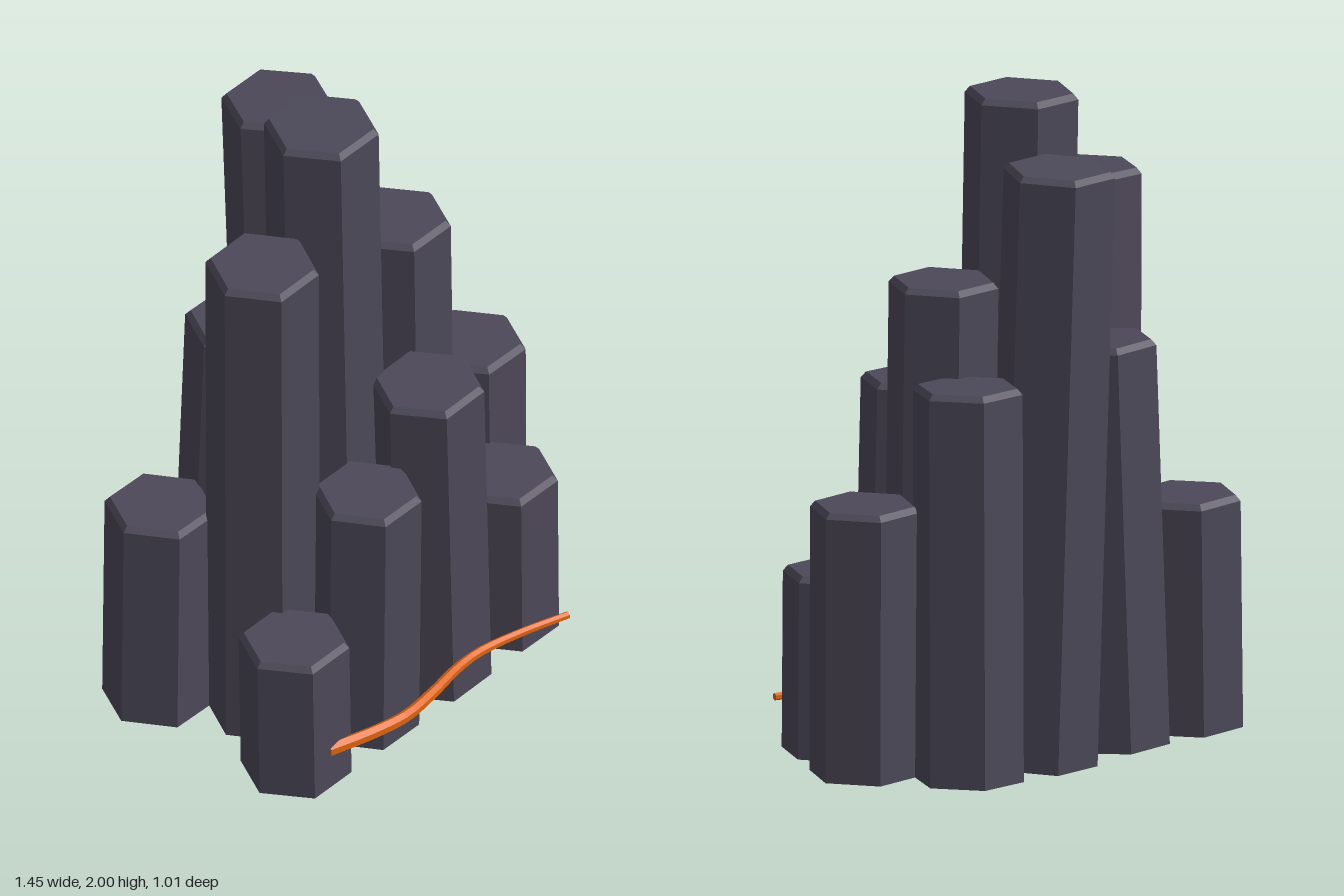
import * as THREE from 'three';

const stone = new THREE.MeshStandardMaterial({ color: 0x4c4858, flatShading: true });
stone.name = 'basalt grey';
const ember = new THREE.MeshStandardMaterial({ color: 0xe0660f, flatShading: true });
ember.name = 'ember orange';

// One leaning six-sided column with a chamfered top rim
function column([bx, bz, tx, tz, height, r = 0.168]) {
  const base = new THREE.Vector3(bx, 0.008, bz);
  const axis = new THREE.Vector3(tx, height - 0.003, tz).sub(base);
  const h = axis.length();
  const profile = [[0, 0], [r, 0], [r, h - 0.018], [r - 0.016, h], [0, h]]
    .map(([x, y]) => new THREE.Vector2(x, y));
  const mesh = new THREE.Mesh(new THREE.LatheGeometry(profile, 6, Math.PI / 2), stone);
  mesh.position.copy(base);
  mesh.quaternion.setFromUnitVectors(new THREE.Vector3(0, 1, 0), axis.normalize());
  return mesh;
}

// Tapering six-sided strand with flat ends
function strand(points, r0, r1, segments = 24, sides = 6) {
  const curve = new THREE.CatmullRomCurve3(points.map((p) => new THREE.Vector3(...p)));
  const geometry = new THREE.TubeGeometry(curve, segments, 1, sides);
  const pos = geometry.attributes.position;
  const v = new THREE.Vector3();
  for (let i = 0; i <= segments; i++) {
    const ring = Math.min(Math.max(i, 1), segments - 1);
    const centre = curve.getPointAt(i / segments);
    const target = curve.getPointAt((ring - 1) / (segments - 2));
    // the first and last rings collapse onto their neighbours to make end caps
    const r = i === ring ? THREE.MathUtils.lerp(r0, r1, i / segments) : 0;
    for (let j = 0; j <= sides; j++) {
      const k = i * (sides + 1) + j;
      v.fromBufferAttribute(pos, k).sub(centre).multiplyScalar(r).add(target);
      pos.setXYZ(k, v.x, v.y, v.z);
    }
  }
  geometry.computeVertexNormals();
  return new THREE.Mesh(geometry, ember);
}

export function createModel() {
  const model = new THREE.Group();
  model.name = 'basaltColumns';

  // Base x, base z, top x, top z, height, radius
  const rows = {
    frontColumn: [
      [-0.553, 0.253, -0.56, 0.25, 0.495],
      [-0.238, 0.253, -0.243, 0.267, 0.872, 0.165],
      [0.083, 0.253, 0.053, 0.25, 1.1, 0.172],
      [0.399, 0.253, 0.397, 0.25, 0.57],
    ],
    middleColumn: [
      [-0.395, -0.01, -0.428, 0.013, 1.7, 0.172],
      [-0.078, -0.012, -0.09, -0.044, 2.0, 0.174],
      [0.24, -0.012, 0.236, -0.032, 1.475],
      [0.552, -0.005, 0.558, -0.013, 0.84],
    ],
    backColumn: [
      [-0.553, -0.287, -0.542, -0.287, 0.725, 0.17],
      [-0.238, -0.287, -0.218, -0.25, 1.25],
      [0.08, -0.287, 0.08, -0.36, 1.845, 0.171],
      [0.396, -0.287, 0.377, -0.264, 1.21],
    ],
  };
  for (const [name, list] of Object.entries(rows)) {
    list.forEach((spec, i) => {
      const mesh = column(spec);
      mesh.name = name + (i + 1);
      model.add(mesh);
    });
  }

  // Glowing strand winding along the foot of the front row
  const vein = strand([
    [-0.56, 0.139, 0.385], [-0.42, 0.141, 0.43], [-0.29, 0.142, 0.455], [-0.15, 0.142, 0.442],
    [0, 0.14, 0.416], [0.1, 0.139, 0.414], [0.26, 0.136, 0.445], [0.415, 0.134, 0.492],
  ], 0.022, 0.011);
  vein.name = 'glowingVein';
  model.add(vein);

  return model;
}
